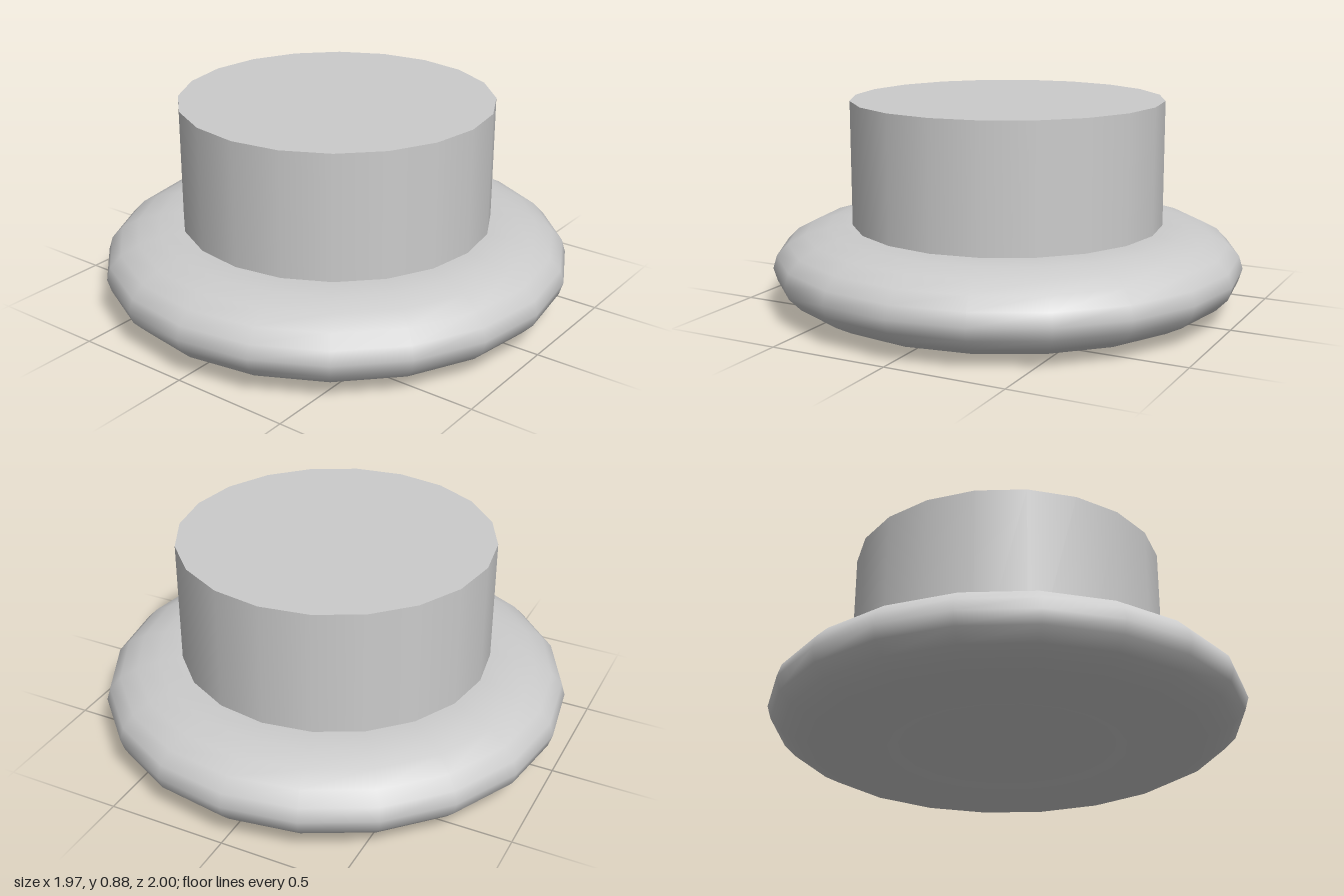
import * as THREE from 'three';

const SIDES = 20;

export function createModel() {
  const group = new THREE.Group();
  const material = new THREE.MeshStandardMaterial({ color: 0xcccccc });
  const add = (name, geometry, y) => {
    const mesh = new THREE.Mesh(geometry, material);
    mesh.name = name;
    mesh.position.y = y;
    group.add(mesh);
  };

  // Flattened ring, slightly narrower across x
  const ring = new THREE.TorusGeometry(0.665, 0.335, SIDES, SIDES);
  ring.rotateX(-Math.PI / 2);
  ring.scale(0.987, 0.175 / 0.335, 1);
  add('baseRing', ring, 0.175);

  // Drum through the ring; its lower cap closes the ring's hole
  const bottom = 0.04, top = 0.875;
  add('drum', new THREE.CylinderGeometry(0.66, 0.66, top - bottom, SIDES), (top + bottom) / 2);

  return group;
}
